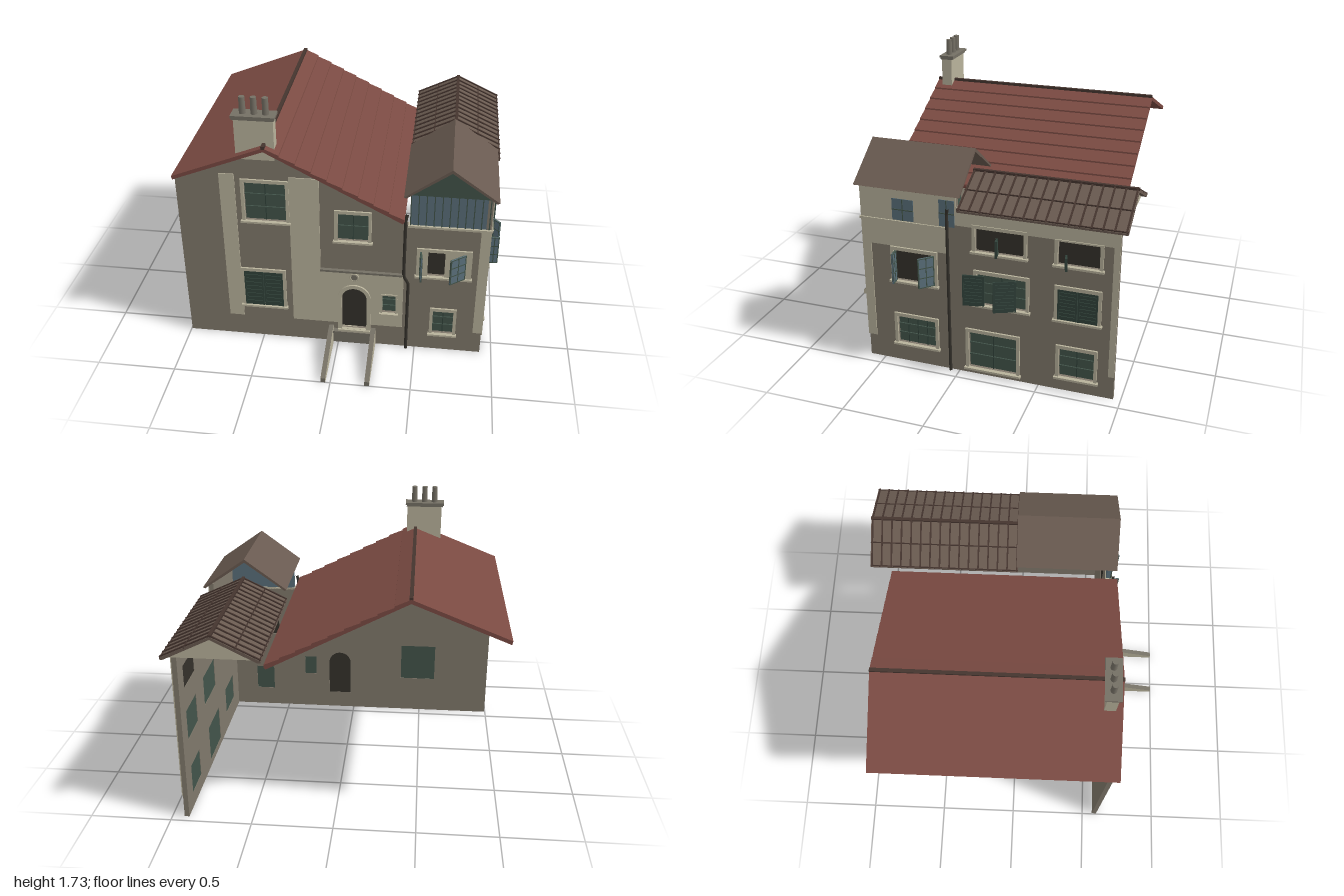
import * as THREE from 'three';

const mat = (name, color, side = THREE.FrontSide) => {
  const m = new THREE.MeshStandardMaterial({ color, side });
  m.name = name;
  return m;
};
const M = {
  wall: mat('taupe render', 0x80786b), trim: mat('beige stone', 0xb8b29b),
  red: mat('red roof', 0x7a4a42), brown: mat('brown roof', 0x695a50),
  batten: mat('dark brown', 0x45352f), teal: mat('teal glass', 0x42544a),
  green: mat('shutter green', 0x31423a), blue: mat('blue glass', 0x5a6f7a),
  dark: mat('dark', 0x34312b), stone: mat('grey stone', 0x757065),
};

function add(parent, name, geo, material, x = 0, y = 0, z = 0) {
  const m = new THREE.Mesh(geo, material);
  m.name = name;
  m.position.set(x, y, z);
  parent.add(m);
  return m;
}
// box given by its limits
const box = (p, name, m, x0, x1, y0, y1, z0, z1) =>
  add(p, name, new THREE.BoxGeometry(x1 - x0, y1 - y0, z1 - z0), m, (x0 + x1) / 2, (y0 + y1) / 2, (z0 + z1) / 2);
const poly = pts => new THREE.Shape(pts.map(p => new THREE.Vector2(p[0], p[1])));
const rect = (a, b, c, d) => poly([[a, c], [b, c], [b, d], [a, d]]);
const slab = (p, name, m, shape, z0, z1) =>
  add(p, name, new THREE.ExtrudeGeometry(shape, { depth: z1 - z0, bevelEnabled: false, curveSegments: 10 }), m, 0, 0, z0);
// arched outline
function arch(x0, x1, y0, spring) {
  const s = new THREE.Shape(), r = (x1 - x0) / 2;
  s.moveTo(x0, y0); s.lineTo(x1, y0); s.lineTo(x1, spring);
  s.absarc((x0 + x1) / 2, spring, r, 0, Math.PI, false);
  s.lineTo(x0, y0);
  return s;
}
// sloping bar between two points in the xy plane
function bar(p, name, m, a, b, z, h, d) {
  const o = add(p, name, new THREE.BoxGeometry(Math.hypot(b[0] - a[0], b[1] - a[1]), h, d), m, (a[0] + b[0]) / 2, (a[1] + b[1]) / 2, z);
  o.rotation.z = Math.atan2(b[1] - a[1], b[0] - a[0]);
}
// hinged leaf: a glazed casement or a slatted shutter
function leaf(p, hinge, y0, y1, width, angle, shutter, z = 0.012) {
  const g = new THREE.Group();
  g.name = shutter ? 'shutter' : 'casement';
  g.position.set(hinge, 0, z);
  g.rotation.y = angle;
  const a = Math.min(0, width), b = Math.max(0, width);
  box(g, 'leafPanel', shutter ? M.green : M.blue, a, b, y0, y1, -0.004, 0.004);
  if (shutter) {
    for (let i = 1; i < 9; i++) {
      const y = y0 + (y1 - y0) * i / 9;
      box(g, 'slat', M.green, a + 0.012, b - 0.012, y - 0.005, y + 0.005, -0.006, 0.009);
    }
    for (const x of [a, b - 0.01]) box(g, 'stile', M.green, x, x + 0.01, y0, y1, -0.006, 0.008);
  } else {
    for (let i = 0; i < 4; i++) {
      const y = y0 + (y1 - y0 - 0.006) * i / 3;
      box(g, 'glazingBar', M.teal, a, b, y, y + 0.006, -0.006, 0.006);
    }
    for (const x of [a, (a + b) / 2 - 0.003, b - 0.006]) box(g, 'glazingBar', M.teal, x, x + 0.006, y0, y1, -0.006, 0.006);
  }
  p.add(g);
}
// window set in an opening: frame, sill and filling
function windowUnit(p, { o: [a, b, c, d], kind = 'glass', cols = 2, rows = 3, left = 0.02, right = 0.02, top = 0.022 }) {
  const g = new THREE.Group();
  g.name = 'window';
  p.add(g);
  const f = rect(a - left, b + right, c, d + top);
  f.holes.push(rect(a, b, c, d));
  slab(g, 'windowFrame', M.trim, f, 0, 0.012);
  box(g, 'windowSill', M.trim, a - left - 0.008, b + right + 0.008, c - 0.013, c, 0, 0.025);
  box(g, 'pane', kind === 'open' ? M.dark : kind === 'blue' ? M.blue : M.teal, a, b, c, d, -0.027, -0.018);
  if (kind === 'shutters') {
    const w = (b - a) / 2 - 0.002;
    leaf(g, a, c, d, w, 0, true, 0.006);
    leaf(g, b, c, d, -w, 0, true, 0.006);
  } else if (kind !== 'open') {
    for (let i = 1; i < cols; i++) {
      const x = a + (b - a) * i / cols;
      box(g, 'mullion', M.green, x - 0.003, x + 0.003, c, d, -0.018, -0.012);
    }
    for (let i = 1; i < rows; i++) {
      const y = c + (d - c) * i / rows;
      box(g, 'glazingBar', M.teal, a, b, y - 0.004, y + 0.004, -0.018, -0.01);
    }
  }
}
function pipe(p, name, pts) {
  const path = new THREE.CurvePath();
  const v = pts.map(q => new THREE.Vector3(...q));
  for (let i = 1; i < v.length; i++) path.add(new THREE.LineCurve3(v[i - 1], v[i]));
  add(p, name, new THREE.TubeGeometry(path, 40, 0.01, 8), M.dark);
}

function createModel() {
  const house = new THREE.Group();
  house.name = 'house';

  // front facade
  const front = new THREE.Group();
  front.name = 'frontFacade';
  front.position.z = 0.6;
  house.add(front);
  const frontWindows = [
    { o: [-0.57, -0.315, 0.915, 1.185] },
    { o: [-0.605, -0.355, 0.26, 0.525], kind: 'shutters' },
    { o: [0, 0.19, 0.81, 1.005], rows: 2 },
    { o: [0.285, 0.37, 0.27, 0.41], cols: 1, left: 0.01, right: 0.01, top: 0.01 },
    { o: [0.56, 0.665, 0.59, 0.77], kind: 'open', left: 0.07, right: 0.165 },
    { o: [0.61, 0.74, 0.135, 0.315] },
  ];
  const fw = poly([[-0.995, 0], [0.925, 0], [0.925, 0.955], [0.41, 0.955], [0.41, 0.985], [-0.43, 1.41], [-0.995, 1.19]]);
  fw.holes.push(...frontWindows.map(w => rect(...w.o)), arch(0.025, 0.185, 0.12, 0.37));
  slab(front, 'frontWall', M.wall, fw, -0.03, 0);
  frontWindows.forEach(w => windowUnit(front, w));
  leaf(front, 0.79, 0.59, 0.77, -0.115, 0.66, false);
  leaf(front, 0.515, 0.59, 0.77, 0.07, -1.45, false);

  // pale panels
  for (const [a, b, c, d] of [[-0.72, -0.625, 0.16, 1.235], [-0.295, -0.11, 0.16, 1.235], [0.87, 0.931, 0.16, 0.955]])
    box(front, 'palePanel', M.trim, a, b, c, d, 0, 0.006);
  const lower = new THREE.Shape();
  lower.moveTo(-0.11, 0.16); lower.lineTo(0.01, 0.16); lower.lineTo(0.01, 0.37);
  lower.absarc(0.105, 0.37, 0.095, Math.PI, 0, true);
  lower.lineTo(0.2, 0.16); lower.lineTo(0.415, 0.16); lower.lineTo(0.415, 0.58); lower.lineTo(-0.11, 0.58);
  lower.holes.push(rect(0.285, 0.37, 0.27, 0.41));
  slab(front, 'doorPanel', M.trim, lower, 0, 0.006);
  box(front, 'stringCourse', M.stone, -0.11, 0.405, 0.574, 0.588, 0, 0.022);

  // door and steps
  const surround = arch(0, 0.21, 0.12, 0.37);
  surround.holes.push(arch(0.025, 0.185, 0.121, 0.37));
  slab(front, 'doorSurround', M.trim, surround, 0, 0.018);
  slab(front, 'door', M.dark, arch(0.025, 0.185, 0.12, 0.37), -0.028, -0.02);
  box(front, 'doorStep', M.trim, 0, 0.21, 0.105, 0.12, -0.02, 0.03);
  box(front, 'landing', M.stone, -0.03, 0.215, 0.02, 0.105, 0, 0.035);
  add(front, 'rosette', new THREE.CylinderGeometry(0.02, 0.02, 0.012, 16), M.stone, 0.105, 0.537, 0.01).rotation.x = Math.PI / 2;
  add(front, 'rosetteRing', new THREE.TorusGeometry(0.026, 0.005, 6, 20), M.trim, 0.105, 0.537, 0.01);
  const ramp = poly([[0, 0], [0, 0.13], [-0.06, 0.13], [-0.4, 0.032], [-0.4, 0]]);
  for (const x of [-0.06, 0.215]) {
    const m = add(front, 'stepWall', new THREE.ExtrudeGeometry(ramp, { depth: 0.03, bevelEnabled: false }), [M.trim, M.stone], x, 0, 0);
    m.rotation.y = Math.PI / 2;
  }

  // side facade, laid out along local x
  const side = new THREE.Group();
  side.name = 'sideFacade';
  side.position.x = 0.925;
  side.rotation.y = Math.PI / 2;
  house.add(side);
  const sideWindows = [
    { o: [-0.405, -0.145, 0.565, 0.765], kind: 'open' },
    { o: [-0.4, -0.15, 0.13, 0.315], cols: 4 },
    { o: [0.115, 0.405, 0.835, 0.98], kind: 'open', top: 0.02 },
    { o: [0.605, 0.845, 0.83, 0.975], kind: 'open', top: 0.01 },
    { o: [0.12, 0.42, 0.49, 0.69], kind: 'glass' },
    { o: [0.61, 0.845, 0.48, 0.675], kind: 'shutters' },
    { o: [0.065, 0.365, 0.045, 0.29] },
    { o: [0.625, 0.835, 0.095, 0.285] },
  ];
  const sw = poly([[-0.6, 0], [0.955, 0], [0.955, 1.095], [0, 1.095], [0, 1.18], [-0.6, 1.18]]);
  sw.holes.push(...sideWindows.map(w => rect(...w.o)));
  slab(side, 'sideWall', M.wall, sw, -0.03, 0);
  sideWindows.forEach(w => windowUnit(side, w));
  for (const [a, b, c, d] of [[-0.606, -0.55, 0.15, 0.79], [-0.606, -0.055, 0.79, 1.18], [-0.055, 0, 0.98, 1.18], [0, 0.955, 0.98, 1.095], [0.92, 0.955, 0.15, 0.98]])
    box(side, 'palePanel', M.trim, a, b, c, d, 0, 0.006);
  box(side, 'stringCourse', M.trim, -0.61, -0.06, 0.948, 0.96, 0, 0.014);
  for (const [a, b, c, d] of [[-0.4, -0.265, 0.965, 1.1], [-0.105, -0.01, 0.965, 1.13]]) {
    box(side, 'atticWindow', M.blue, a, b, c, d, 0.004, 0.009);
    box(side, 'glazingBar', M.teal, (a + b) / 2 - 0.003, (a + b) / 2 + 0.003, c, d, 0.008, 0.013);
    box(side, 'glazingBar', M.teal, a, b, (c + d) / 2 - 0.003, (c + d) / 2 + 0.003, 0.008, 0.013);
  }
  leaf(side, -0.145, 0.57, 0.765, -0.1, 0.75, false);
  leaf(side, -0.39, 0.57, 0.765, 0.06, -1.5, false);
  leaf(side, 0.17, 0.485, 0.685, -0.13, 0.15, true, 0.016);
  leaf(side, 0.365, 0.485, 0.685, -0.135, 0.4, true, 0.016);
  leaf(side, 0.25, 0.835, 0.94, 0.05, -1.4, true);
  leaf(side, 0.655, 0.82, 0.9, 0.05, -1.3, true);

  // glazed attic with its gable
  box(house, 'atticGlazing', M.blue, 0.44, 0.915, 0.955, 1.18, 0.575, 0.6);
  for (let i = 0; i <= 10; i++) {
    const x = 0.44 + 0.0469 * i;
    box(house, 'atticBar', M.teal, x, x + 0.006, 0.955, 1.18, 0.6, 0.607);
  }
  box(house, 'atticSill', M.trim, 0.43, 0.935, 0.944, 0.958, 0.57, 0.615);
  slab(house, 'atticGable', M.teal, poly([[0.44, 1.17], [0.915, 1.17], [0.91, 1.185], [0.675, 1.345], [0.445, 1.185]]), 0.575, 0.608);
  slab(house, 'atticRoof', M.brown, poly([[0.4, 1.165], [0.413, 1.158], [0.675, 1.345], [0.945, 1.158], [0.96, 1.165], [0.675, 1.367]]), -0.03, 0.63);

  // main roof with stepped courses on the long slope
  const prof = [[-0.995, 1.195], [-0.43, 1.42], [0.4, 0.985], [0.41, 1.0]];
  for (let i = 9; i >= 1; i--) {
    const t = i / 9, x = -0.43 + 0.84 * t, y = 1.445 - 0.435 * t;
    if (i < 9) prof.push([x, y - 0.004]);
    else prof.push([x, y]);
    prof.push([x - 0.001, y + 0.006]);
  }
  prof.push([-0.43, 1.445], [-1, 1.218]);
  slab(house, 'mainRoof', M.red, poly(prof), -0.87, 0.645);
  box(house, 'ridgeCap', M.batten, -0.441, -0.419, 1.436, 1.456, -0.87, 0.647);

  // rear wing roof with battens
  slab(house, 'rearLoft', M.trim, poly([[0.42, 1.088], [0.96, 1.088], [0.69, 1.22]]), -0.97, -0.03);
  slab(house, 'rearRoof', M.brown, poly([[0.4, 1.085], [0.42, 1.085], [0.685, 1.218], [0.96, 1.085], [0.98, 1.085], [0.98, 1.097], [0.685, 1.236], [0.4, 1.097]]), -1, -0.02);
  for (const x of [0.4, 0.98]) {
    for (let i = 0; i < 16; i++) bar(house, 'roofBatten', M.batten, [x, 1.099], [0.685, 1.238], -0.99 + i * 0.064, 0.012, 0.01);
    for (const t of [0.02, 0.5]) {
      const px = x + (0.685 - x) * t, y = 1.097 + 0.139 * t;
      box(house, 'roofRail', M.batten, px - 0.003, px + 0.003, y - 0.008, y + 0.006, -1, -0.02);
    }
  }
  box(house, 'rearRidge', M.batten, 0.675, 0.695, 1.23, 1.245, -1, -0.02);

  // chimney
  box(house, 'chimneyStack', M.trim, -0.605, -0.37, 1.34, 1.6, 0.53, 0.6);
  box(house, 'chimneyCap', M.stone, -0.615, -0.365, 1.6, 1.615, 0.52, 0.607);
  box(house, 'chimneyCapTop', M.stone, -0.62, -0.358, 1.612, 1.627, 0.512, 0.612);
  for (const x of [-0.555, -0.487, -0.418])
    add(house, 'chimneyPot', new THREE.CylinderGeometry(0.018, 0.02, 0.11, 14), M.stone, x, 1.677, 0.562);

  // drainpipes
  pipe(house, 'frontDrainpipe', [[0.425, 1.04, 0.615], [0.415, 1.0, 0.618], [0.415, 0.58, 0.618], [0.445, 0.53, 0.618], [0.445, 0, 0.618]]);
  pipe(house, 'sideDrainpipe', [[0.955, 1.09, 0.045], [0.938, 1.04, 0.055], [0.938, 0, 0.055]]);
  return house;
}

export { createModel };
